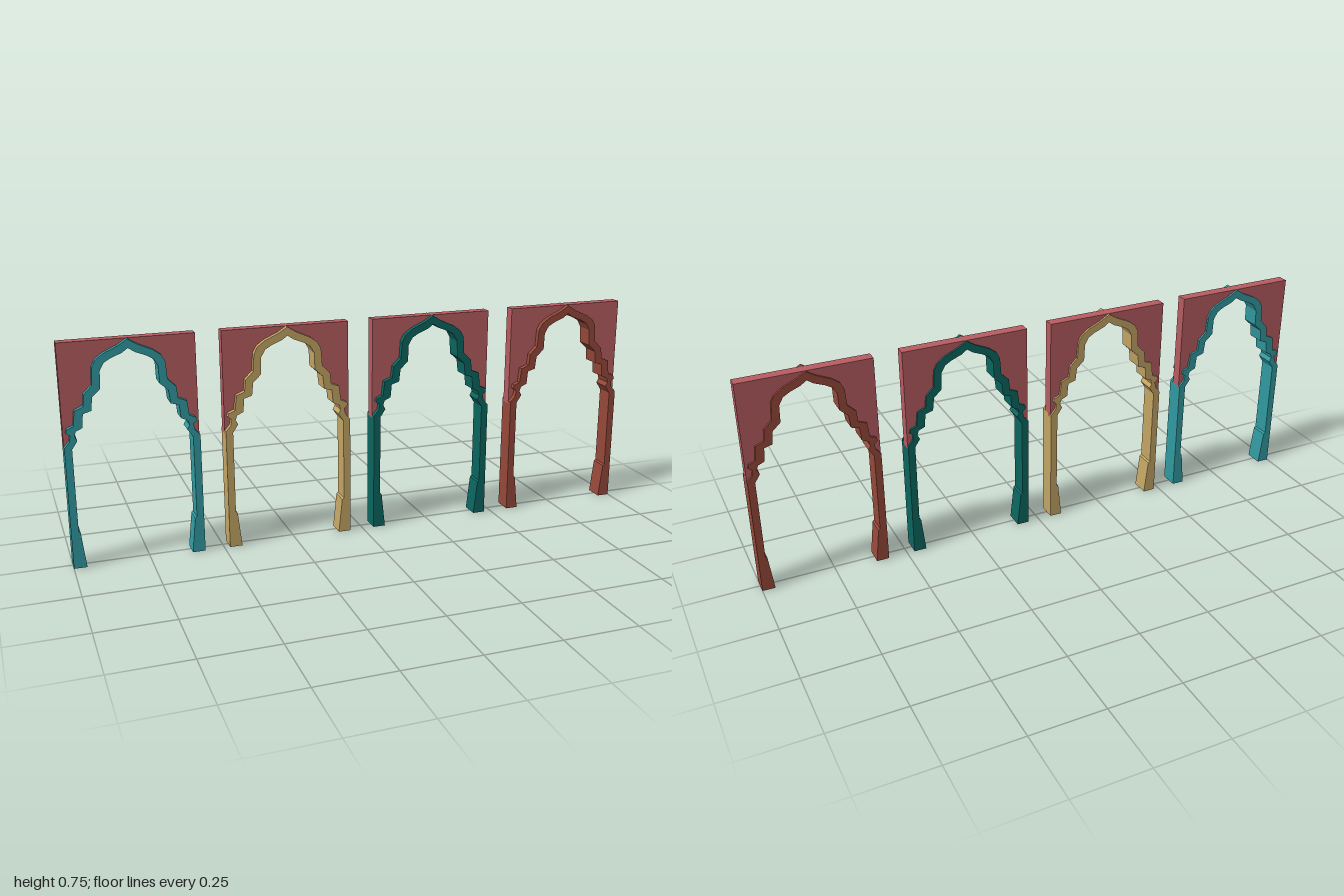
import * as THREE from 'three';

// Right half of the arch moulding, from the foot up to the apex
const OUTER = [[0.217, 0], [0.217, 0.41], [0.2, 0.43], [0.196, 0.45], [0.209, 0.46], [0.205, 0.472],
  [0.184, 0.48], [0.178, 0.53], [0.15, 0.541], [0.146, 0.58], [0.119, 0.607], [0.115, 0.665],
  [0.103, 0.688], [0.077, 0.707], [0.03, 0.728], [0, 0.747]];
const INNER = [[0.174, 0], [0.187, 0.12], [0.193, 0.125], [0.193, 0.405], [0.175, 0.432], [0.183, 0.447],
  [0.178, 0.463], [0.156, 0.473], [0.152, 0.518], [0.125, 0.526], [0.12, 0.57], [0.093, 0.595],
  [0.091, 0.652], [0.077, 0.677], [0.055, 0.69], [0.02, 0.704], [0, 0.718]];
// Lower edge of the panel, hidden inside the moulding
const HIDDEN = [[0.217, 0.4], [0.205, 0.4], [0.188, 0.435], [0.19, 0.455], [0.17, 0.475], [0.165, 0.522],
  [0.138, 0.535], [0.132, 0.575], [0.106, 0.602], [0.103, 0.658], [0.09, 0.683], [0.066, 0.698],
  [0.025, 0.716], [0, 0.732]];

// Full outline from right foot over the apex to the left foot
const mirror = (half) => [...half, ...half.slice(0, -1).reverse().map(([x, y]) => [-x, y])];

function extrude(points, z0, z1) {
  const shape = new THREE.Shape(points.map(([x, y]) => new THREE.Vector2(x, y)));
  const geometry = new THREE.ExtrudeGeometry(shape, { depth: z1 - z0, bevelEnabled: false });
  return geometry.translate(0, 0, z0);
}

function material(name, color) {
  const m = new THREE.MeshStandardMaterial({ color });
  m.name = name;
  return m;
}

export function createModel() {
  const group = new THREE.Group();
  group.name = 'archRow';

  const panelMaterial = material('rosePanel', 0xb85d61);
  const mouldingGeometry = extrude([...mirror(OUTER), ...mirror(INNER).reverse()], -0.0315, 0.0315);
  const panelGeometry = extrude([[0.217, 0.747], [-0.217, 0.747], ...mirror(HIDDEN).reverse()], -0.024, 0.013);

  const arches = [
    ['turquoise', 0x319aa0, -0.783],
    ['sand', 0xc4a564, -0.264],
    ['deepGreen', 0x0b6660, 0.257],
    ['brickBrown', 0x96493a, 0.783],
  ];
  for (const [name, color, x] of arches) {
    const arch = new THREE.Group();
    arch.name = name + 'Arch';
    const moulding = new THREE.Mesh(mouldingGeometry, material(name, color));
    moulding.name = 'moulding';
    const panel = new THREE.Mesh(panelGeometry, panelMaterial);
    panel.name = 'spandrelPanel';
    arch.add(moulding, panel);
    arch.position.x = x;
    group.add(arch);
  }
  return group;
}
